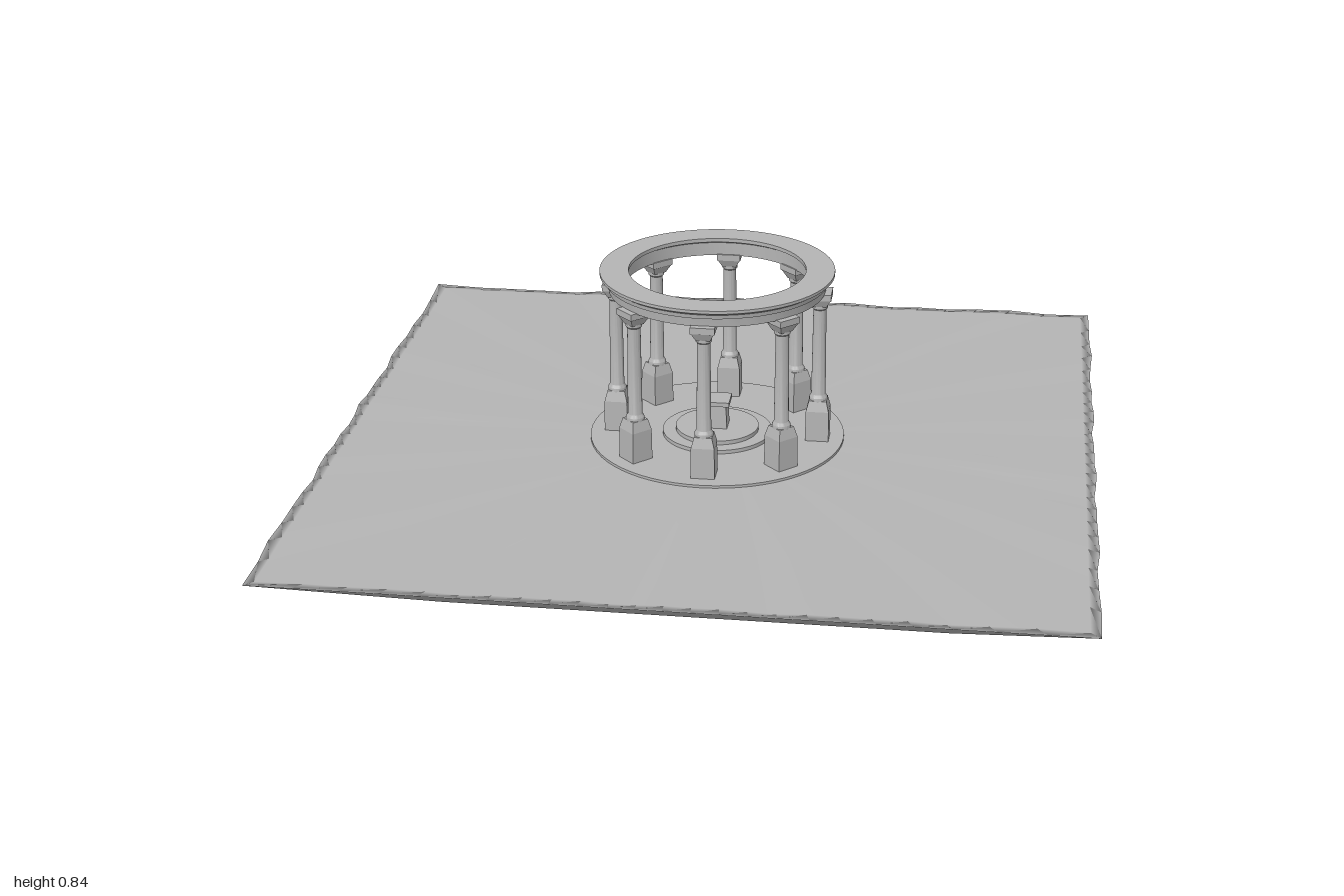
import * as THREE from 'three';
import { toCreasedNormals } from 'three/addons/utils/BufferGeometryUtils.js';

const GROUND = 0.367;
const stone = new THREE.MeshStandardMaterial({ color: 0xb4b4b4 });
stone.name = 'grey stone';

function add(parent, name, geometry, x = 0, y = 0, z = 0) {
  const mesh = new THREE.Mesh(geometry, stone);
  mesh.name = name;
  mesh.position.set(x, y, z);
  parent.add(mesh);
  return mesh;
}

// Lathed part from [radius, height] pairs, with hard edges kept
function turned(points, segments = 64) {
  const profile = points.map(([r, y]) => new THREE.Vector2(r, y));
  return toCreasedNormals(new THREE.LatheGeometry(profile, segments), 0.6);
}

// Four-sided tapering block standing on y = 0
function block(bottom, top, height) {
  const g = new THREE.CylinderGeometry(top / Math.SQRT2, bottom / Math.SQRT2, height, 4).toNonIndexed();
  g.rotateY(Math.PI / 4).translate(0, height / 2, 0);
  g.computeVertexNormals();
  return g;
}

// Square floating ground: one skin of square rings, underside then top
function islandGeometry() {
  // [half size, height, x offset, z offset]
  const rings = [
    [0, 0, 0.035, 0.015], [0.115, 0, 0.035, 0.015], [0.63, 0.16, 0.02, 0.01],
    [0.995, GROUND, 0, 0], [0.97, GROUND, 0, 0], [0.7, GROUND, 0, 0],
    [0.36, GROUND, 0, 0], [0, GROUND, 0, 0],
  ];
  const n = 96;
  const pos = [];
  const index = [];
  rings.forEach(([r, y, ox, oz], k) => {
    for (let i = 0; i < n; i++) {
      const a = (i / n) * Math.PI * 2;
      const c = Math.cos(a);
      const s = Math.sin(a);
      const m = Math.max(Math.abs(c), Math.abs(s));
      const wave = Math.sin(i * 2.3) + Math.sin(i * 5.1);
      const size = k === 3 ? r + wave * 0.0025 : r;
      const bump = k >= 3 && k <= 5 ? wave * 0.0015 : 0;
      pos.push(ox + (size * c) / m, y + bump, oz - (size * s) / m);
      if (k < rings.length - 1) {
        const j = (i + 1) % n;
        const p = k * n + i;
        const q = k * n + j;
        if (r > 0) index.push(p, q, q + n);
        if (rings[k + 1][0] > 0) index.push(p, q + n, p + n);
      }
    }
  });
  const g = new THREE.BufferGeometry();
  g.setAttribute('position', new THREE.Float32BufferAttribute(pos, 3));
  g.setIndex(index);
  g.computeVertexNormals();
  return g;
}

function createColumn() {
  const column = new THREE.Group();
  column.name = 'column';
  add(column, 'columnPedestal', block(0.062, 0.06, 0.09), 0, GROUND, 0);
  add(column, 'pedestalShoulder', block(0.06, 0.046, 0.028), 0, GROUND + 0.09, 0);
  add(column, 'columnShaft', turned([
    [0.024, 0.48], [0.024, 0.492], [0.019, 0.5], [0.017, 0.738],
    [0.021, 0.742], [0.021, 0.75],
  ], 20));
  add(column, 'columnCapital', block(0.036, 0.058, 0.022), 0, 0.748, 0);
  add(column, 'capitalSlab', block(0.062, 0.062, 0.017), 0, 0.77, 0);
  return column;
}

export function createModel() {
  const model = new THREE.Group();
  model.name = 'roundColonnade';

  add(model, 'island', islandGeometry());

  // Floor discs
  add(model, 'floorDisc', turned([[0.337, 0.355], [0.337, 0.374], [0, 0.374]]));
  add(model, 'centreSteps', turned([
    [0.145, 0.37], [0.145, 0.384], [0.11, 0.384], [0.11, 0.395], [0, 0.395],
  ]));

  // Central pedestal
  add(model, 'altarBody', block(0.058, 0.052, 0.066), 0, 0.394, 0);
  add(model, 'altarCap', block(0.07, 0.07, 0.012), 0, 0.46, 0);

  // Eight columns facing outwards
  for (let i = 0; i < 8; i++) {
    const a = (i * Math.PI) / 4;
    const column = createColumn();
    column.position.set(Math.sin(a) * 0.268, 0, Math.cos(a) * 0.268);
    column.rotation.y = a;
    model.add(column);
  }

  // Ring beam with a moulded outer edge
  add(model, 'ringBeam', turned([
    [0.242, 0.785], [0.282, 0.785], [0.284, 0.807], [0.29, 0.809],
    [0.292, 0.82], [0.305, 0.828], [0.305, 0.836], [0.23, 0.836],
    [0.23, 0.826], [0.242, 0.82], [0.242, 0.785],
  ]));

  return model;
}
